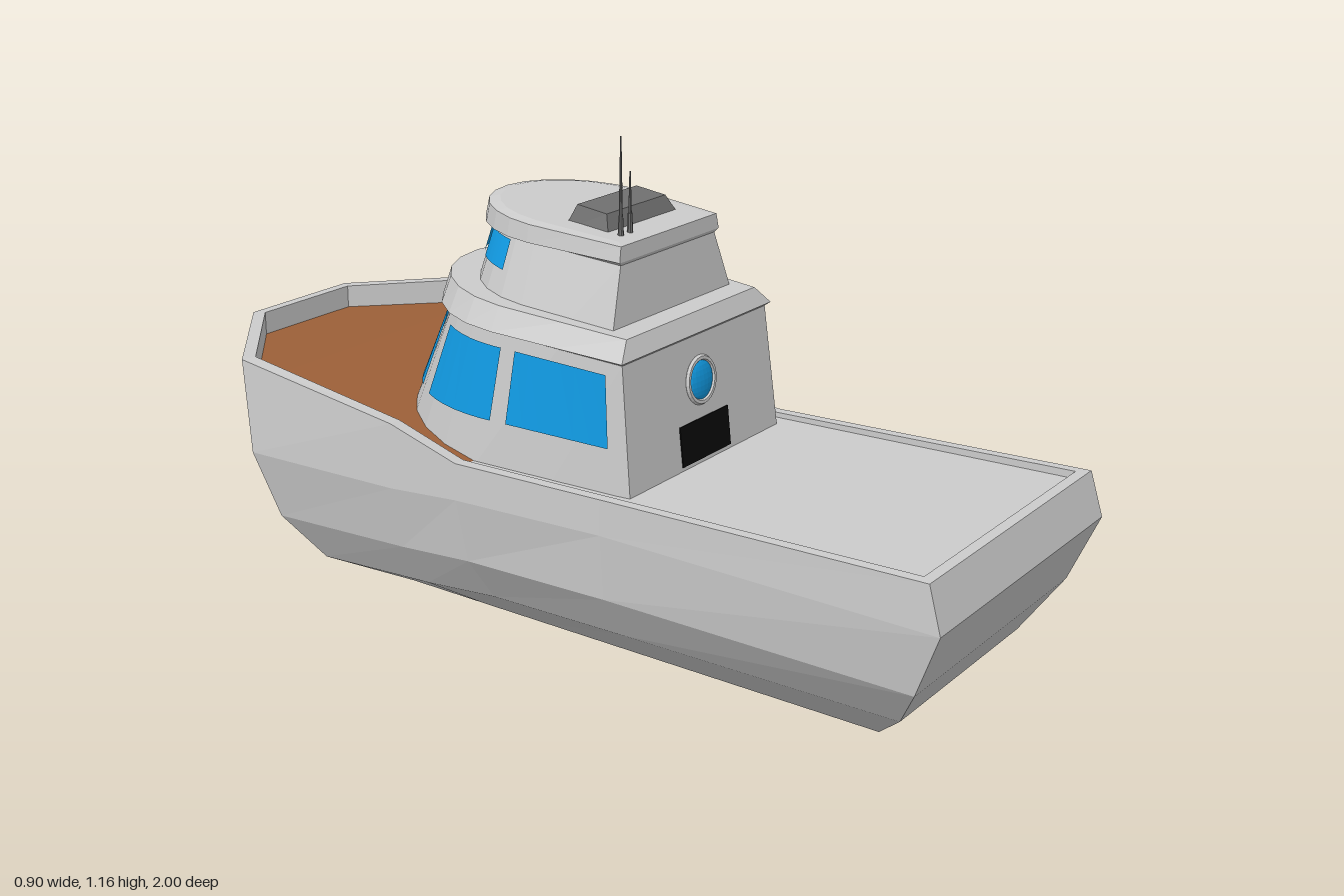
import * as THREE from 'three';

const mat = (color, side = THREE.FrontSide) => new THREE.MeshStandardMaterial({ color, flatShading: true, side });
const grey = mat(0xcccccc), brown = mat(0x9c6038), dark = mat(0x707070), black = mat(0x0a0a0a);
const glass = mat(0x119be4, THREE.DoubleSide);

// Faceted geometry from a list of quads
function quadGeometry(quads) {
  const pos = [];
  for (const [a, b, c, d] of quads) pos.push(...a, ...b, ...c, ...a, ...c, ...d);
  const g = new THREE.BufferGeometry();
  g.setAttribute('position', new THREE.Float32BufferAttribute(pos, 3));
  g.computeVertexNormals();
  return g;
}

// Half outline (stern to bow on +x) closed by its mirror image
const mirrorLoop = (half) => [...half, ...half.map(([x, y, z]) => [-x, y, z]).reverse()];

// Skin between consecutive loops
function skin(loops) {
  const quads = [];
  for (let k = 0; k + 1 < loops.length; k++) {
    const a = loops[k], b = loops[k + 1], n = a.length;
    for (let i = 0; i < n; i++) quads.push([a[i], a[(i + 1) % n], b[(i + 1) % n], b[i]]);
  }
  return quads;
}

// Cross strips that close a mirrored loop, facing up or down
function cap(loop, up = true, from = 0, to = loop.length / 2 - 1) {
  const n = loop.length, quads = [];
  for (let i = from; i < to; i++) {
    const q = [loop[i], loop[i + 1], loop[n - 2 - i], loop[n - 1 - i]];
    quads.push(up ? q : q.reverse());
  }
  return quads;
}

function add(group, name, geometry, material, x = 0, y = 0, z = 0) {
  const m = new THREE.Mesh(geometry, material);
  m.name = name;
  m.position.set(x, y, z);
  group.add(m);
  return m;
}

// U-shaped cabin outline: flat rear, straight sides, rounded front.
// yr/yf: height at rear/front, wr/wm: half width at rear/middle, zr/zm/zf: rear, middle, front
const ring = (yr, yf, wr, wm, zr, zm, zf) => ({ yr, yf, wr, wm, zr, zm, zf });

function ringPoint(r, t) {
  let x, z;
  if (t < 0.5) {
    x = r.wr + (r.wm - r.wr) * t * 2;
    z = r.zr + (r.zm - r.zr) * t * 2;
  } else {
    const a = (t - 0.5) * Math.PI;
    x = r.wm * Math.cos(a);
    z = r.zm + (r.zf - r.zm) * Math.sin(a);
  }
  return [x, r.yr + (r.yf - r.yr) * (r.zr - z) / (r.zr - r.zf), z];
}

function ringLoop(r) {
  const half = [ringPoint(r, 0), ringPoint(r, 0.25)];
  for (let i = 0; i <= 6; i++) half.push(ringPoint(r, 0.5 + i / 12));
  return mirrorLoop(half);
}

function cabinShell(rings) {
  const loops = rings.map(ringLoop);
  return quadGeometry([...skin(loops), ...cap(loops[0], false), ...cap(loops[loops.length - 1])]);
}

// Window pane lying just outside the wall between two rings
function pane(lo, hi, t0, t1, v0, v1, side) {
  const at = (t, v) => {
    const a = ringPoint(lo, t), b = ringPoint(hi, t);
    const p = a.map((c, i) => c + (b[i] - c) * v);
    const f = Math.max(0, (t - 0.5) * Math.PI);
    return [side * (p[0] + 0.005 * Math.cos(f)), p[1], p[2] - 0.005 * Math.sin(f)];
  };
  const quads = [], n = 6;
  for (let i = 0; i < n; i++) {
    const a = t0 + (t1 - t0) * i / n, b = t0 + (t1 - t0) * (i + 1) / n;
    quads.push([at(a, v0), at(b, v0), at(b, v1), at(a, v1)]);
  }
  return quadGeometry(quads);
}

export function createModel() {
  const boat = new THREE.Group();
  boat.name = 'boat';

  // Hull levels from keel to rail; six stations from stern to bow
  const levels = [
    { x: [0.14, 0.14, 0.14, 0.14, 0.14, 0.06], y: [0, 0, 0, 0, 0, 0], z: [0.76, 0.2, -0.14, -0.3, -0.52, -0.71] },
    { x: [0.26, 0.27, 0.28, 0.31, 0.34, 0.1], y: [0.11, 0.11, 0.11, 0.11, 0.11, 0.13], z: [0.87, 0.2, -0.15, -0.32, -0.61, -0.82] },
    { x: [0.34, 0.34, 0.355, 0.38, 0.41, 0.14], y: [0.22, 0.22, 0.22, 0.22, 0.22, 0.27], z: [0.94, 0.2, -0.16, -0.33, -0.68, -0.94] },
    { x: [0.364, 0.352, 0.38, 0.41, 0.45, 0.16], y: [0.37, 0.37, 0.37, 0.37, 0.38, 0.44], z: [1, 0.2, -0.17, -0.33, -0.72, -1] },
    { x: [0.36, 0.35, 0.378, 0.405, 0.438, 0.16], y: [0.47, 0.45, 0.455, 0.52, 0.595, 0.595], z: [0.97, 0.2, -0.17, -0.33, -0.75, -1] },
  ];
  const loops = levels.map((l) => mirrorLoop(l.x.map((x, i) => [x, l.y[i], l.z[i]])));
  // Rail inner edge and the deck edge below it
  const rail = levels[4], deckY = [0.453, 0.438, 0.443, 0.468, 0.535, 0.54];
  const innerX = [0.335, 0.325, 0.35, 0.375, 0.405, 0.145], innerZ = [0.945, 0.2, -0.17, -0.33, -0.74, -0.975];
  const railInner = mirrorLoop(innerX.map((x, i) => [x, rail.y[i], innerZ[i]]));
  const deck = mirrorLoop(innerX.map((x, i) => [x, deckY[i], innerZ[i]]));
  add(boat, 'hull', quadGeometry([...skin([...loops, railInner, deck]), ...cap(loops[0], false)]), grey);
  add(boat, 'aftDeck', quadGeometry(cap(deck, true, 0, 2)), grey);
  add(boat, 'foreDeck', quadGeometry(cap(deck, true, 2, 5)), brown);

  // Main cabin with its flared roof band
  const mainLo = ring(0.43, 0.43, 0.287, 0.318, 0.232, -0.17, -0.55);
  const mainHi = ring(0.72, 0.745, 0.272, 0.28, 0.2, -0.13, -0.4);
  add(boat, 'mainCabin', cabinShell([mainLo, mainHi]), grey);
  add(boat, 'mainRoofBand', cabinShell([
    mainHi,
    ring(0.727, 0.752, 0.284, 0.298, 0.208, -0.13, -0.43),
    ring(0.768, 0.812, 0.243, 0.268, 0.19, -0.13, -0.415),
  ]), grey);

  // Wheelhouse with its brow and sloping roof
  const topLo = ring(0.755, 0.79, 0.225, 0.235, 0.14, -0.1, -0.345);
  const topHi = ring(0.9, 0.93, 0.175, 0.182, 0.125, -0.1, -0.305);
  add(boat, 'wheelhouse', cabinShell([topLo, topHi]), grey);
  add(boat, 'wheelhouseRoof', cabinShell([
    topHi,
    ring(0.908, 0.935, 0.185, 0.206, 0.13, -0.1, -0.33),
    ring(0.942, 0.978, 0.178, 0.2, 0.128, -0.1, -0.32),
    ring(0.946, 0.982, 0.16, 0.175, 0.11, -0.1, -0.295),
  ]), grey);

  // Window panes on both sides
  for (const side of [1, -1]) {
    for (const [t0, t1] of [[0.06, 0.41], [0.465, 0.69], [0.75, 0.985]])
      add(boat, 'cabinWindow', pane(mainLo, mainHi, t0, t1, 0.37, 0.91, side), glass);
    for (const [t0, t1] of [[0.6, 0.755], [0.79, 0.98]])
      add(boat, 'wheelhouseWindow', pane(topLo, topHi, t0, t1, 0.5, 0.95, side), glass);
  }

  // Door and porthole on the sloping rear wall
  const tilt = -Math.atan2(0.032, 0.29);
  add(boat, 'door', new THREE.BoxGeometry(0.185, 0.09, 0.01), black, 0, 0.492, 0.223).rotation.x = tilt;
  add(boat, 'portholeRim', new THREE.TorusGeometry(0.049, 0.007, 6, 24), grey, 0, 0.62, 0.212).rotation.x = tilt;
  const lens = add(boat, 'portholeGlass', new THREE.SphereGeometry(0.046, 20, 12), glass, 0, 0.62, 0.21);
  lens.scale.z = 0.25;
  lens.rotation.x = tilt;

  // Roof hatch: box tapered towards the top
  const hatch = new THREE.BoxGeometry(0.26, 0.05, 0.12).toNonIndexed();
  const p = hatch.attributes.position;
  for (let i = 0; i < p.count; i++)
    if (p.getY(i) > 0) p.setXYZ(i, p.getX(i) * 0.83, p.getZ(i) < 0 ? 0.03 : 0.02, p.getZ(i) * 0.65);
  hatch.computeVertexNormals();
  add(boat, 'roofHatch', hatch, dark, 0, 0.965, 0);

  // Aerials with thicker feet
  for (const [x, top] of [[-0.12, 1.16], [-0.087, 1.08]]) {
    const h = top - 0.94;
    add(boat, 'aerial', new THREE.CylinderGeometry(0.0015, 0.005, h, 8), dark, x, 0.94 + h / 2, 0.085);
    add(boat, 'aerialFoot', new THREE.CylinderGeometry(0.005, 0.007, 0.05, 8), dark, x, 0.965, 0.085);
  }
  return boat;
}
